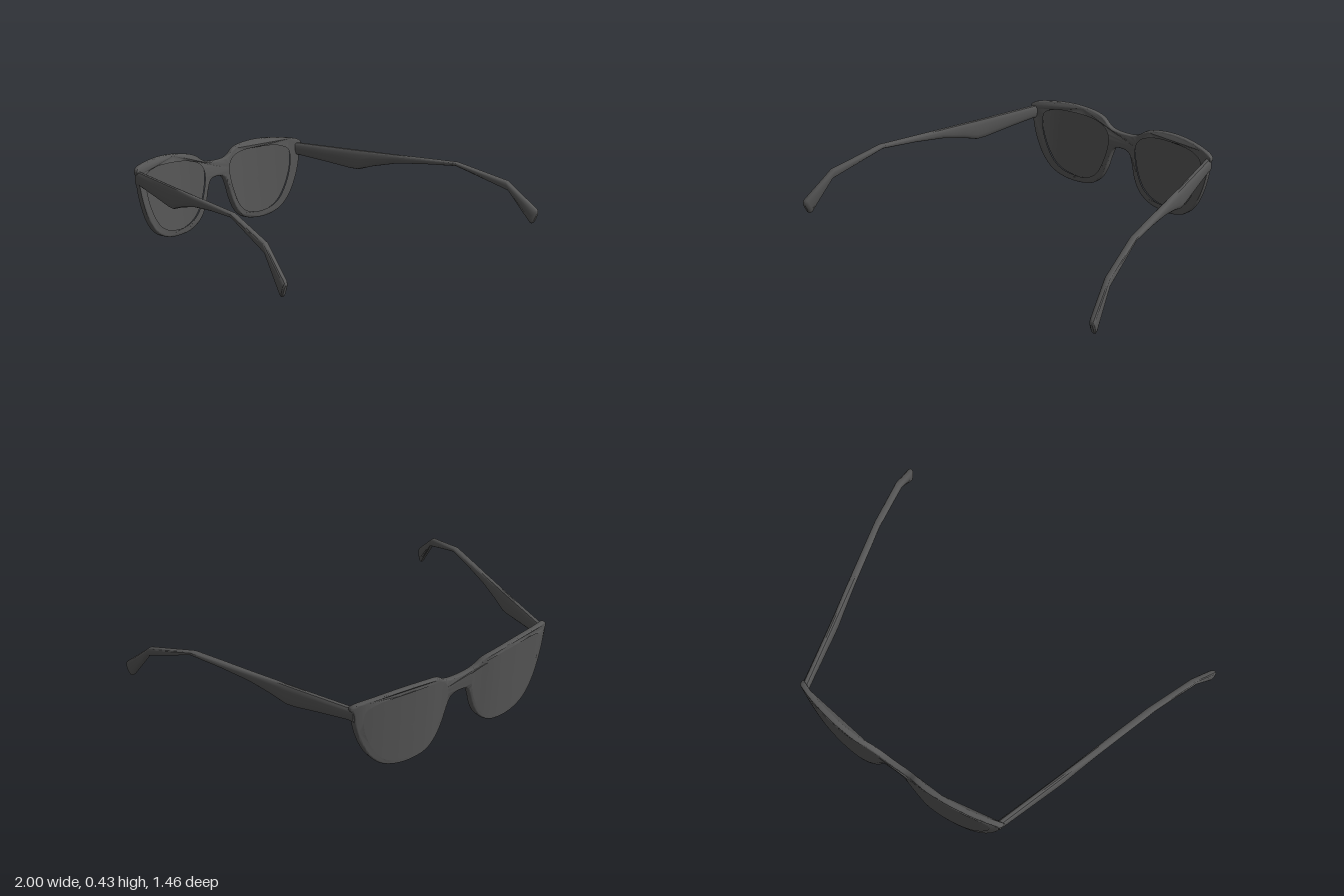
import * as THREE from 'three';
import { toCreasedNormals } from 'three/addons/utils/BufferGeometryUtils.js';

const frameMaterial = new THREE.MeshStandardMaterial({ color: 0x555555 });
const lensMaterial = new THREE.MeshStandardMaterial({ color: 0x555555, side: THREE.DoubleSide });

// Half of the frame outline, from the bridge top round to the bridge underside
const frameHalf = [
  [0.06, 0.365], [0.1, 0.378], [0.145, 0.407], [0.22, 0.425], [0.36, 0.435], [0.5, 0.427], [0.605, 0.408],
  [0.619, 0.393], [0.608, 0.365], [0.598, 0.29], [0.57, 0.195], [0.525, 0.105], [0.465, 0.043],
  [0.39, 0.012], [0.3, 0.004], [0.205, 0.02], [0.142, 0.065], [0.103, 0.13], [0.075, 0.215],
  [0.055, 0.26], [0.03, 0.274],
];
// Lens opening on the +x side
const lensPoints = [
  [0.086, 0.31], [0.115, 0.362], [0.18, 0.388], [0.33, 0.4], [0.49, 0.39], [0.545, 0.36], [0.55, 0.28],
  [0.513, 0.165], [0.455, 0.08], [0.385, 0.041], [0.25, 0.034], [0.165, 0.08], [0.11, 0.18],
];

// Depth of the wrapped front face at every 0.1 of |x|
const wrap = new THREE.SplineCurve(
  [-0.715, -0.716, -0.729, -0.727, -0.715, -0.695, -0.664, -0.62].map((z, i) => new THREE.Vector2(i / 10, z)));

// Point depth on the front: t = 0 is the outer face, t = 1 the face toward the wearer
function frontDepth(x, y, t) {
  const low = (0.4 - y) / 0.4;
  return wrap.getPoint(Math.min(Math.abs(x) / 0.7, 1)).y + 0.025 * low + t * (0.03 + 0.015 * low);
}

function smoothLoop(points, count) {
  const curve = new THREE.CatmullRomCurve3(points.map(([x, y]) => new THREE.Vector3(x, y, 0)), true);
  return curve.getPoints(count).slice(0, -1).map(p => new THREE.Vector2(p.x, p.y));
}

const mirrored = points => points.map(([x, y]) => [-x, y]).reverse();

// One-piece frame: flat extrusion with two openings, then wrapped
function createFrame() {
  const shape = new THREE.Shape(smoothLoop([...frameHalf, ...mirrored(frameHalf)], 220));
  for (const pts of [lensPoints, mirrored(lensPoints)]) shape.holes.push(new THREE.Path(smoothLoop(pts, 84)));
  const geometry = new THREE.ExtrudeGeometry(shape, {
    depth: 0.6, bevelThickness: 0.2, bevelSize: 0.008, bevelOffset: -0.008, bevelSegments: 3,
  });
  const p = geometry.attributes.position;
  for (let i = 0; i < p.count; i++) p.setZ(i, frontDepth(p.getX(i), p.getY(i), p.getZ(i) + 0.2));
  const mesh = new THREE.Mesh(toCreasedNormals(geometry, 0.7), frameMaterial);
  mesh.name = 'frame';
  return mesh;
}

// Lens sheet made of rings shrinking toward the centre
function createLensSheet(side, t, grow) {
  const loop = smoothLoop(lensPoints, 64), n = loop.length, rings = 10;
  const centre = new THREE.Vector2(0.32, 0.22);
  const position = [], index = [];
  for (let r = 0; r <= rings; r++) {
    for (const q of loop) {
      const p = centre.clone().lerp(q, grow * (1 - r / rings));
      position.push(side * p.x, p.y, frontDepth(p.x, p.y, t));
    }
  }
  for (let r = 0; r < rings; r++) {
    for (let j = 0; j < n; j++) {
      const a = r * n + j, b = r * n + (j + 1) % n, c = a + n, d = b + n;
      if (side > 0) index.push(a, b, c, b, d, c);
      else index.push(a, c, b, b, c, d);
    }
  }
  const geometry = new THREE.BufferGeometry();
  geometry.setAttribute('position', new THREE.Float32BufferAttribute(position, 3));
  geometry.setIndex(index);
  geometry.computeVertexNormals();
  return new THREE.Mesh(geometry, lensMaterial);
}

function createLens(side) {
  const lens = new THREE.Group();
  lens.name = side > 0 ? 'leftLens' : 'rightLens';
  const outer = createLensSheet(side, -0.03, 1.04);
  outer.name = 'lensOuterFace';
  const inner = createLensSheet(side, 0.55, 1.01);
  inner.name = 'lensInnerFace';
  lens.add(outer, inner);
  return lens;
}

// Temple stations: top z, top y, bottom z, bottom y, half width
const templeStations = [
  [-0.655, 0.391, -0.655, 0.315, 0.018],
  [-0.62, 0.39, -0.62, 0.32, 0.019],
  [-0.45, 0.383, -0.45, 0.293, 0.019],
  [-0.32, 0.378, -0.32, 0.27, 0.019],
  [-0.27, 0.376, -0.27, 0.267, 0.019],
  [-0.19, 0.373, -0.19, 0.29, 0.019],
  [-0.06, 0.367, -0.06, 0.316, 0.019],
  [0.1, 0.361, 0.1, 0.328, 0.019],
  [0.285, 0.354, 0.288, 0.332, 0.019],
  [0.56, 0.276, 0.572, 0.224, 0.019],
  [0.718, 0.139, 0.688, 0.064, 0.02],
  [0.726, 0.128, 0.697, 0.057, 0.016],
  [0.728, 0.115, 0.708, 0.064, 0.008],
];

// Temple arm: rounded sections lofted along the outward-splayed line
function createTemple(side) {
  const sides = 16, position = [], index = [];
  const soft = v => Math.sign(v) * Math.abs(v) ** 0.75;
  const quad = (a, b, c) => (side > 0 ? index.push(a, b, c) : index.push(a, c, b));
  for (const [tz, ty, bz, by, w] of templeStations) {
    for (let j = 0; j < sides; j++) {
      const angle = (j / sides) * Math.PI * 2;
      const k = soft(Math.sin(angle)) / 2;
      const z = (tz + bz) / 2 + k * (tz - bz);
      const x = 0.598 + (z + 0.635) * 0.283 + w * soft(Math.cos(angle));
      position.push(side * x, (ty + by) / 2 + k * (ty - by), z);
    }
  }
  const last = (templeStations.length - 1) * sides;
  for (let a = 0; a < last; a++) {
    const b = a % sides === sides - 1 ? a + 1 - sides : a + 1;
    quad(a, b, a + sides);
    quad(b, b + sides, a + sides);
  }
  // End caps
  for (let j = 1; j < sides - 1; j++) {
    quad(0, j + 1, j);
    quad(last, last + j, last + j + 1);
  }
  const geometry = new THREE.BufferGeometry();
  geometry.setAttribute('position', new THREE.Float32BufferAttribute(position, 3));
  geometry.setIndex(index);
  const mesh = new THREE.Mesh(toCreasedNormals(geometry, 0.5), frameMaterial);
  mesh.name = side > 0 ? 'leftTemple' : 'rightTemple';
  return mesh;
}

export function createModel() {
  const model = new THREE.Group();
  model.name = 'sunglasses';
  model.add(createFrame());
  for (const side of [1, -1]) model.add(createLens(side), createTemple(side));
  return model;
}
